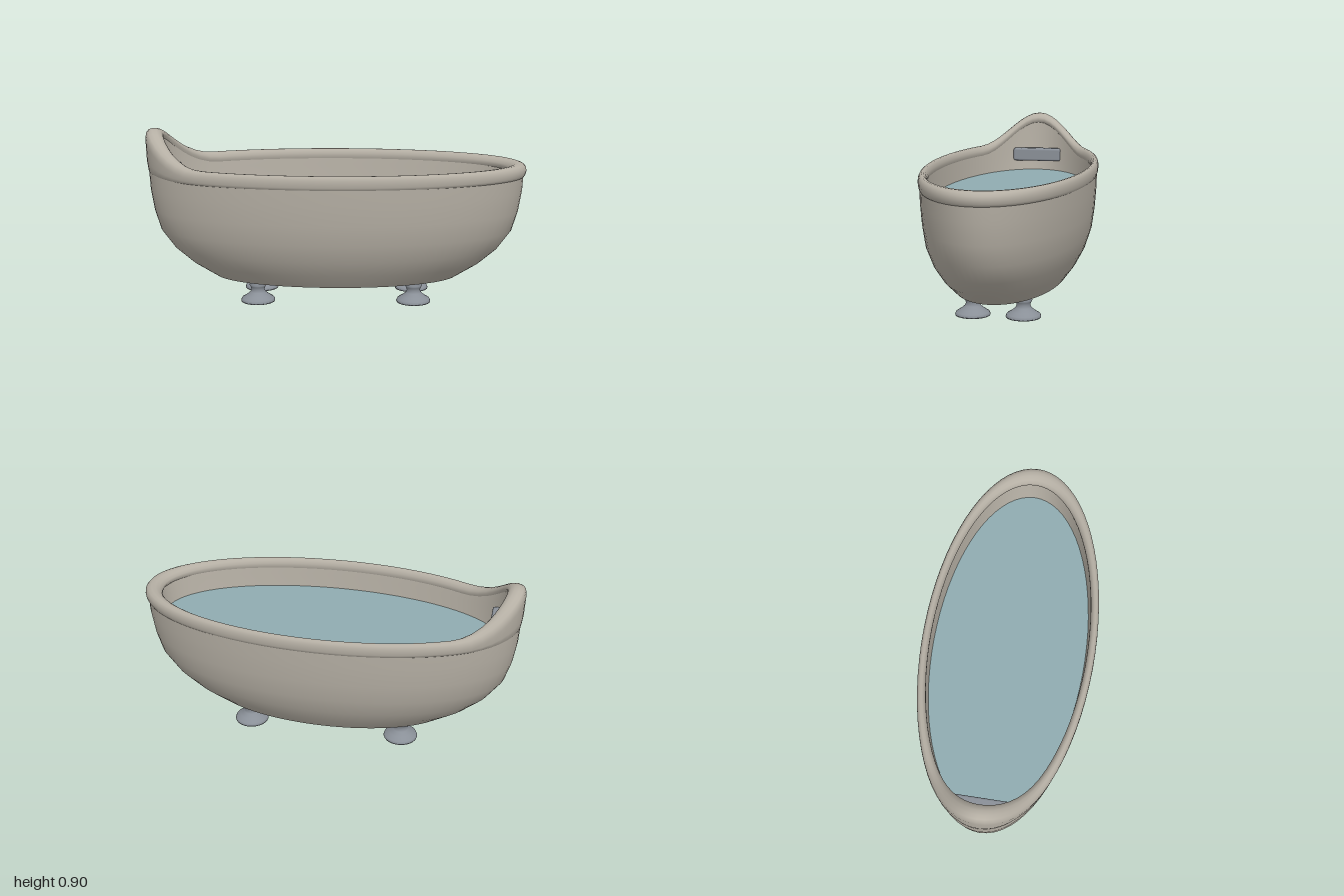
import * as THREE from 'three';
import { RoundedBoxGeometry } from 'three/addons/geometries/RoundedBoxGeometry.js';

const DEPTH = 0.445; // width of the oval relative to its length
const SEGMENTS = 72;

const enamel = new THREE.MeshStandardMaterial({ color: 0xb5afa4, side: THREE.DoubleSide });
const metal = new THREE.MeshStandardMaterial({ color: 0x8a9098 });
const waterBlue = new THREE.MeshStandardMaterial({ color: 0x8fabb0 });

const toPoints = (list) => list.map(([r, y]) => new THREE.Vector2(r, y));

function add(parent, name, geometry, material) {
  const mesh = new THREE.Mesh(geometry, material);
  mesh.name = name;
  parent.add(mesh);
  return mesh;
}

// Oval ring swept from a profile of [radius, y, share of the backrest rise]
function ovalSweep(profile) {
  const positions = [], indices = [];
  const n = profile.length;
  for (let i = 0; i < SEGMENTS; i++) {
    const a = (i / SEGMENTS) * Math.PI * 2;
    const fromBack = Math.abs(a - Math.PI);
    const rise = fromBack < Math.PI / 4 ? 0.0875 * (1 + Math.cos(fromBack * 4)) : 0;
    for (const [r, y, share] of profile) {
      positions.push(r * Math.cos(a), y + rise * share, r * DEPTH * Math.sin(a));
    }
    const next = (i + 1) % SEGMENTS;
    for (let j = 0; j < n - 1; j++) {
      const p = i * n + j, q = next * n + j;
      indices.push(p, p + 1, q, q, p + 1, q + 1);
    }
  }
  const geometry = new THREE.BufferGeometry();
  geometry.setAttribute('position', new THREE.Float32BufferAttribute(positions, 3));
  geometry.setIndex(indices);
  geometry.computeVertexNormals();
  return geometry;
}

export function createModel() {
  const model = new THREE.Group();
  model.name = 'bathtub';

  // Outer bowl
  const bowl = toPoints([[0.64, 0.115], [0.765, 0.19], [0.86, 0.27], [0.93, 0.365],
    [0.962, 0.47], [0.98, 0.58], [0.986, 0.68]]);
  add(model, 'bowl', new THREE.LatheGeometry(bowl, SEGMENTS), enamel).scale.z = DEPTH;

  // Flat underside
  const underside = add(model, 'underside', new THREE.CircleGeometry(0.64, SEGMENTS), enamel);
  underside.rotation.x = Math.PI / 2;
  underside.scale.y = DEPTH;
  underside.position.y = 0.115;

  // Rolled rim, rising into the backrest at the -x end
  add(model, 'rim', ovalSweep([
    [0.975, 0.655, 0.15], [0.988, 0.655, 0.15], [0.996, 0.668, 0.4], [1.0, 0.686, 0.9],
    [0.997, 0.704, 1], [0.985, 0.718, 1], [0.965, 0.725, 1], [0.942, 0.724, 1],
    [0.922, 0.715, 1], [0.909, 0.7, 1], [0.907, 0.685, 1], [0.916, 0.672, 1],
  ]), enamel);

  // Inner wall, from under the rim down to the hidden floor
  add(model, 'innerWall', ovalSweep([
    [0.918, 0.68, 1], [0.91, 0.64, 0.4], [0.895, 0.56, 0], [0.86, 0.4, 0],
    [0.76, 0.26, 0], [0.6, 0.17, 0], [0, 0.16, 0],
  ]), enamel);

  // Water surface
  const water = add(model, 'water', new THREE.CircleGeometry(0.896, SEGMENTS), waterBlue);
  water.rotation.x = -Math.PI / 2;
  water.scale.y = DEPTH;
  water.position.y = 0.565;

  // Bar fixed inside the backrest
  const bar = add(model, 'headrestBar', new RoundedBoxGeometry(0.055, 0.075, 0.28, 2, 0.012), metal);
  bar.position.set(-0.86, 0.66, 0);

  // Four turned feet
  const foot = new THREE.LatheGeometry(toPoints([[0, 0], [0.088, 0], [0.09, 0.006],
    [0.085, 0.018], [0.062, 0.032], [0.04, 0.05], [0.034, 0.066], [0.04, 0.08],
    [0.045, 0.09], [0.038, 0.105], [0.039, 0.12]]), 24);
  for (const x of [-0.41, 0.41]) {
    for (const z of [-0.13, 0.13]) {
      add(model, 'foot', foot, metal).position.set(x, 0, z);
    }
  }
  return model;
}
